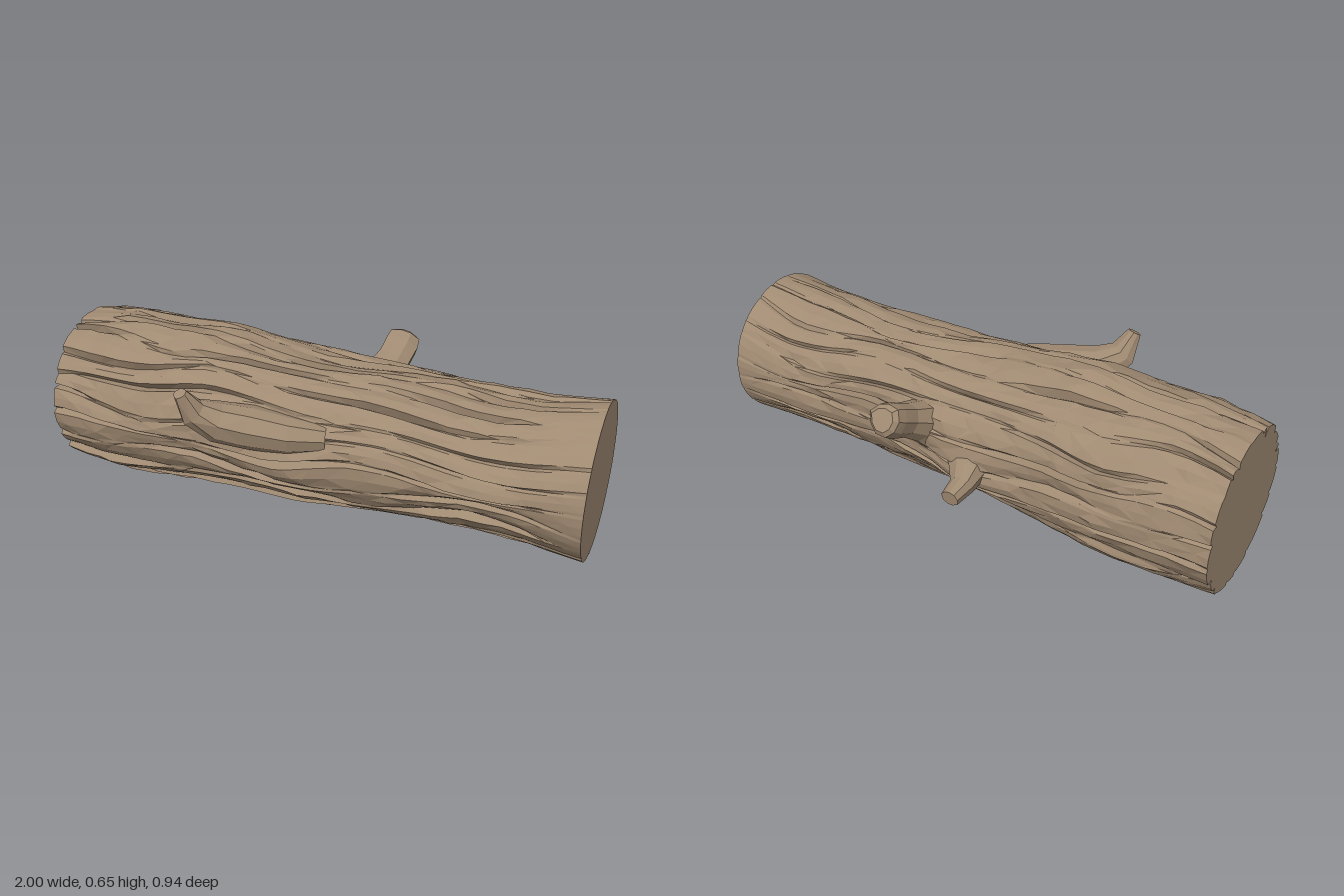
import * as THREE from 'three';

const V = (x, y, z) => new THREE.Vector3(x, y, z);

// Small seeded random generator
function seeded(s) {
  return () => {
    s = (s * 16807) % 2147483647;
    return s / 2147483647;
  };
}

// Limits of the trunk at x = -1, -0.8 ... 1
const TOP = [0.613, 0.632, 0.625, 0.636, 0.612, 0.593, 0.578, 0.568, 0.56, 0.566, 0.59];
const BOTTOM = [0.02, 0.003, 0.008, 0.02, 0.035, 0.042, 0.054, 0.062, 0.062, 0.052, 0.03];
const FRONT = [0.3, 0.33, 0.33, 0.322, 0.325, 0.32, 0.3, 0.288, 0.283, 0.288, 0.297];
const BACK = [-0.283, -0.298, -0.3, -0.288, -0.285, -0.28, -0.275, -0.27, -0.266, -0.268, -0.275];

// Swellings of the trunk: x, angle from the front, height, length, angular width
const SWELLINGS = [
  [-0.03, -0.1, 0.03, 0.17, 0.26],
  [-0.16, 0.4, 0.02, 0.2, 0.22],
  [0.06, 2.75, 0.03, 0.13, 0.3],
  [-0.09, 3.3, 0.025, 0.12, 0.25],
];

function at(table, x) {
  const f = (x + 1) * 5;
  const i = Math.max(0, Math.min(9, Math.floor(f)));
  return THREE.MathUtils.lerp(table[i], table[i + 1], f - i);
}

function facets(triangles) {
  const geometry = new THREE.BufferGeometry().setFromPoints(triangles);
  geometry.computeVertexNormals();
  return geometry;
}

// Faceted skin between closed rings
function loft(rings) {
  const tris = [];
  for (let i = 0; i < rings.length - 1; i++) {
    const n = rings[i].length;
    for (let j = 0; j < n; j++) {
      const k = (j + 1) % n;
      const a = rings[i][j], b = rings[i + 1][j], c = rings[i + 1][k], d = rings[i][k];
      if ((i + j) % 2) tris.push(a, b, c, a, c, d);
      else tris.push(a, b, d, b, c, d);
    }
  }
  return facets(tris);
}

// Flat fan that closes a ring
function cap(ring, atEnd) {
  const centre = V(0, 0, 0);
  ring.forEach((p) => centre.add(p));
  centre.divideScalar(ring.length);
  const tris = [];
  ring.forEach((p, j) => {
    const q = ring[(j + 1) % ring.length];
    tris.push(centre, ...(atEnd ? [q, p] : [p, q]));
  });
  return facets(tris);
}

// Sum of the swellings at one place on the trunk
function swelling(x, a) {
  return SWELLINGS.reduce((sum, [sx, sa, height, length, width]) => {
    const turn = 2 * Math.sin((a - sa) / 2);
    return sum + height * Math.exp(-(((x - sx) / length) ** 2) - (turn / width) ** 2);
  }, 0);
}

// Trunk rings: long wandering bark plates with a steep and a shallow edge
function trunkRings() {
  const random = seeded(4127);
  const plates = Array.from({ length: 22 }, () => ({
    p1: random() * 6.28, p2: random() * 6.28, p3: random() * 6.28,
    freq: 3 + random() * 4, depth: 0.018 + random() * 0.026, flip: random() < 0.5,
  }));
  const count = plates.length;
  const fractions = [0, 0.13, 0.5, 0.87];
  const edge = (k, x) => {
    const p = plates[k % count];
    const wander = 0.28 * Math.sin(p.freq * x + p.p1) + 0.1 * Math.sin(10 * x + p.p2);
    return ((k + wander) / count) * Math.PI * 2 + 0.04 * Math.sin(2 * x);
  };
  const rings = [];
  const steps = 30;
  for (let i = 0; i <= steps; i++) {
    const ringX = -1 + (2 * i) / steps;
    // Uneven corners break up the bark; the sawn ends stay flat
    const inner = i > 0 && i < steps ? 1 : 0;
    const ring = [];
    plates.forEach((p, k) => {
      const profile = p.flip ? [-1, -0.5, -0.15, 0] : [-1, 0, -0.15, -0.5];
      fractions.forEach((f, v) => {
        const x = ringX + inner * (random() - 0.5) * 0.045;
        const endFade = 1 - 0.8 * THREE.MathUtils.smoothstep(x, 0.6, 1);
        const d = p.depth * endFade * (0.55 + 0.45 * Math.sin(p.freq * 1.4 * x + p.p3));
        const lift = endFade * (0.007 * Math.sin(5 * x + p.p2) + inner * (random() - 0.5) * 0.008);
        const a = THREE.MathUtils.lerp(edge(k, x), edge(k + 1, x), f);
        const h = profile[v] * d + lift + swelling(x, a);
        const top = at(TOP, x), bottom = at(BOTTOM, x), front = at(FRONT, x), back = at(BACK, x);
        ring.push(V(
          x,
          (top + bottom) / 2 + ((top - bottom) / 2 + h) * Math.sin(a),
          (front + back) / 2 + ((front - back) / 2 + h) * Math.cos(a),
        ));
      });
    });
    rings.push(ring);
  }
  return rings;
}

// Branch rings along a path of [x, y, z, radius]
function branchRings(path, sides, seed) {
  const random = seeded(seed);
  const points = path.map((p) => V(p[0], p[1], p[2]));
  const uneven = Array.from({ length: sides }, () => 0.9 + random() * 0.2);
  return points.map((p, i) => {
    const t = points[Math.min(i + 1, points.length - 1)].clone()
      .sub(points[Math.max(i - 1, 0)]).normalize();
    const n = V(0, 1, 0).addScaledVector(t, -t.y).normalize();
    const b = n.clone().cross(t);
    return uneven.map((u, j) => {
      const a = (j / sides) * Math.PI * 2;
      const r = path[i][3] * u;
      return p.clone().addScaledVector(n, r * Math.cos(a)).addScaledVector(b, r * Math.sin(a));
    });
  });
}

export function createModel() {
  const model = new THREE.Group();
  model.name = 'log';
  const wood = new THREE.MeshStandardMaterial({ color: 0xa08a72 });
  wood.name = 'brown wood';

  const add = (parent, name, geometry) => {
    const mesh = new THREE.Mesh(geometry, wood);
    mesh.name = name;
    parent.add(mesh);
  };

  // Trunk with its two sawn ends
  const trunk = trunkRings();
  add(model, 'bark', loft(trunk));
  add(model, 'rightCut', cap(trunk[0], false));
  add(model, 'leftCut', cap(trunk[trunk.length - 1], true));

  // Broken branches
  const branches = {
    frontBranch: [[0.1, 0.4, 0.25, 0.05], [-0.02, 0.405, 0.285, 0.07], [-0.16, 0.42, 0.31, 0.08],
      [-0.27, 0.44, 0.35, 0.075], [-0.335, 0.49, 0.405, 0.052], [-0.355, 0.57, 0.445, 0.024]],
    backBranch: [[0.11, 0.38, -0.2, 0.125], [0.115, 0.415, -0.275, 0.08], [0.125, 0.45, -0.34, 0.066],
      [0.13, 0.483, -0.405, 0.068], [0.13, 0.503, -0.44, 0.062], [0.13, 0.51, -0.453, 0.045]],
    backTwig: [[-0.09, 0.29, -0.24, 0.095], [-0.105, 0.285, -0.295, 0.062],
      [-0.12, 0.272, -0.35, 0.043], [-0.12, 0.262, -0.423, 0.033]],
  };
  Object.entries(branches).forEach(([name, path], i) => {
    const group = new THREE.Group();
    group.name = name;
    const rings = branchRings(path, 9, 311 + i * 97);
    add(group, name + 'Bark', loft(rings));
    add(group, name + 'End', cap(rings[rings.length - 1], true));
    model.add(group);
  });

  return model;
}
